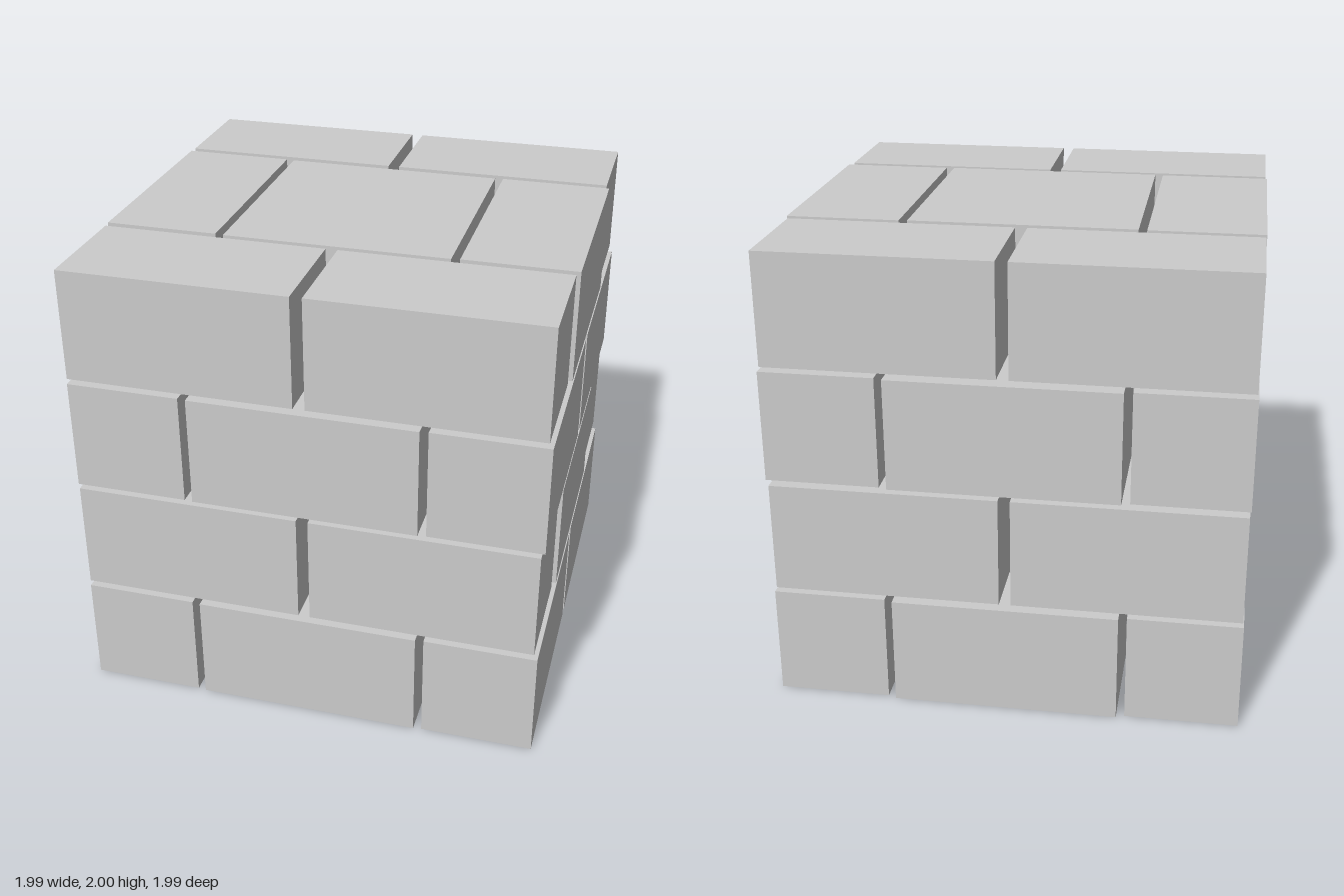
import * as THREE from 'three';

const LONG = 0.96, SHORT = 0.48;
const material = new THREE.MeshStandardMaterial({ color: 0xcccccc, flatShading: true });

function block(name, w, d, x, z) {
  const mesh = new THREE.Mesh(new THREE.BoxGeometry(w, SHORT, d), material);
  mesh.name = name;
  mesh.position.set(x, 0, z);
  return mesh;
}

// One ring of six bricks: two pairs end to end, and a single brick closing each open side.
// pairsAlongX puts the pairs at front and back, otherwise at left and right.
function course(pairsAlongX) {
  const ring = new THREE.Group();
  for (const side of [-1, 1]) {
    for (const end of [-1, 1]) {
      const along = end * 0.505, out = side * 0.755;
      ring.add(pairsAlongX
        ? block('cornerBrick', LONG, SHORT, along - 0.005, out)
        : block('cornerBrick', SHORT, LONG, out, along + 0.005));
    }
    ring.add(pairsAlongX
      ? block('middleBrick', SHORT, LONG, side * 0.755, 0)
      : block('middleBrick', LONG, SHORT, 0, side * 0.755));
  }
  return ring;
}

export function createModel() {
  const model = new THREE.Group();
  model.name = 'brickPillar';

  // Four courses with alternating bond around a hollow core
  [0.243, 0.754, 1.253, 1.76].forEach((y, i) => {
    const ring = course(i % 2 === 1);
    ring.name = 'course' + (i + 1);
    ring.position.y = y;
    model.add(ring);
  });

  // Square block filling the middle of the top course
  const cap = block('capBlock', LONG, LONG, 0, 0.005);
  cap.position.y = 1.76;
  model.add(cap);

  return model;
}
